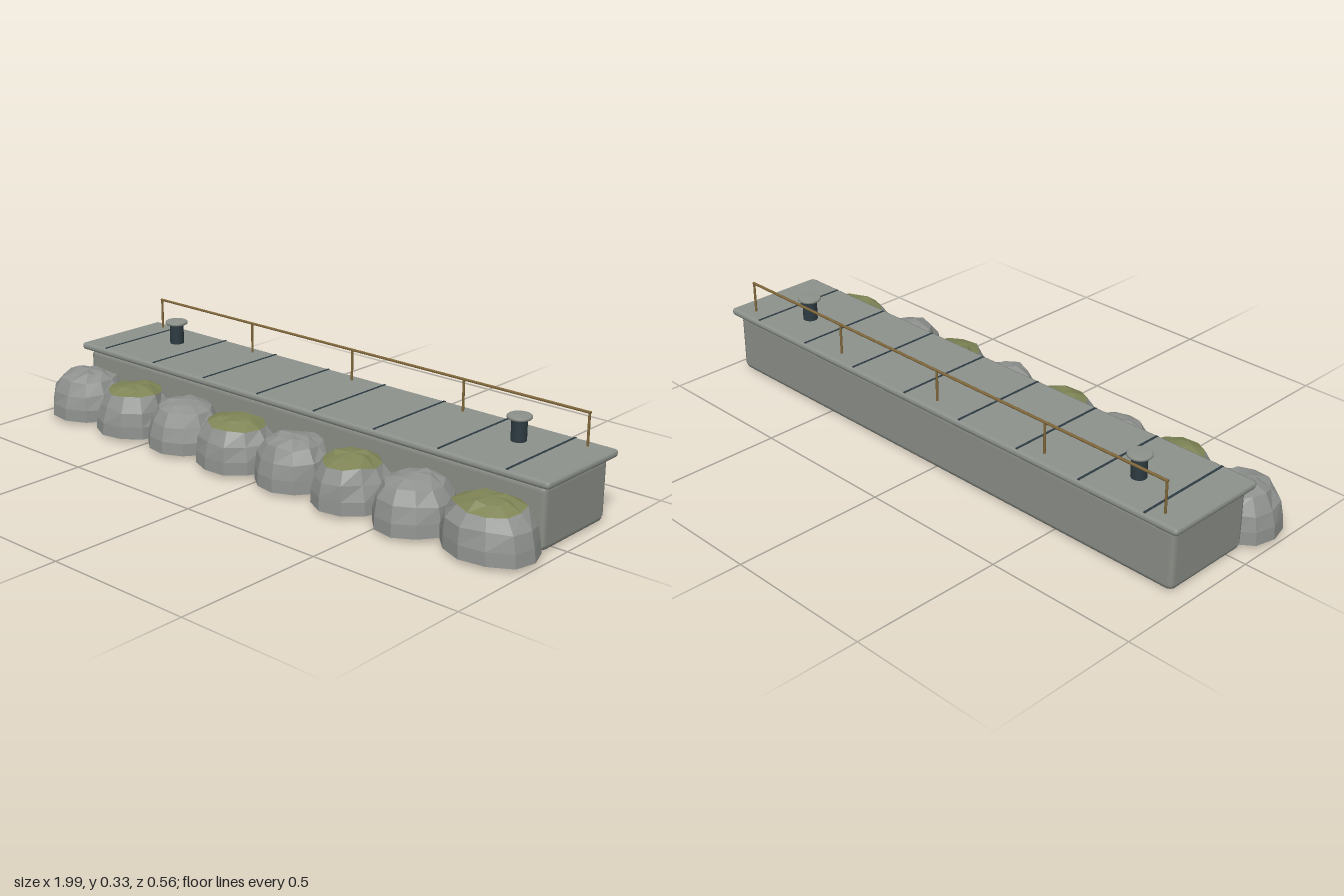
import * as THREE from 'three';
import { RoundedBoxGeometry } from 'three/addons/geometries/RoundedBoxGeometry.js';

const paint = (name, color) => {
  const m = new THREE.MeshStandardMaterial({ color });
  m.name = name;
  return m;
};

// Small seeded generator for the boulders
function seeded(seed) {
  let s = seed * 7919 + 17;
  return () => (s = (s * 16807) % 2147483647) / 2147483647;
}

// Faceted boulder: stacked uneven rings, flat underneath; the crown may use a second material
function boulder(cx, rx, rz, seed, mossy) {
  const rand = seeded(seed);
  for (let i = 0; i < 5; i++) rand();
  const sides = 11, cz = 0.145;
  const profile = [[0.012, 1], [0.053, 0.985], [0.1, 0.9], [0.143, 0.72], [0.16, 0.4]];
  const lean = (rand() - 0.5) * 0.04;
  const bulge = Array.from({ length: sides }, () => 0.93 + 0.07 * rand());
  const rings = profile.map(([y, r], k) => bulge.map((b, i) => {
    const a = (i + 0.5 * (seed % 2)) / sides * Math.PI * 2;
    const f = r * b * (k > 1 ? 0.95 + 0.1 * rand() : 1);
    const dy = k > 1 ? (rand() - 0.5) * 0.012 : 0;
    return [cx + Math.cos(a) * rx * f + lean * k / 4, y + dy, cz + Math.sin(a) * rz * f];
  }));
  const side = [], crown = [];
  const bottom = [cx, 0.012, cz], top = [cx + lean, 0.166, cz];
  for (let i = 0; i < sides; i++) {
    const j = (i + 1) % sides;
    side.push(bottom, rings[0][i], rings[0][j]);
    for (let k = 0; k < rings.length - 1; k++) {
      const [a, b, c, d] = [rings[k][i], rings[k][j], rings[k + 1][j], rings[k + 1][i]];
      (k === 3 ? crown : side).push(a, d, b, b, d, c);
    }
    crown.push(rings[4][i], top, rings[4][j]);
  }
  const g = new THREE.BufferGeometry();
  g.setAttribute('position', new THREE.Float32BufferAttribute([...side, ...crown].flat(), 3));
  g.addGroup(0, side.length, 0);
  g.addGroup(side.length, crown.length, mossy ? 1 : 0);
  g.computeVertexNormals();
  return g;
}

export function createModel() {
  const model = new THREE.Group();
  model.name = 'stoneQuay';
  const wallStone = paint('wall stone', 0x8b8e87);
  const deckStone = paint('deck stone', 0x8d928c);
  const rock = paint('rock', 0x8f928f);
  const moss = paint('moss', 0x7f8556);
  const iron = paint('dark iron', 0x2d3b42);
  const brass = paint('brass', 0x80673a);
  rock.flatShading = moss.flatShading = true;

  const add = (name, geometry, material, x = 0, y = 0, z = 0) => {
    const mesh = new THREE.Mesh(geometry, material);
    mesh.name = name;
    mesh.position.set(x, y, z);
    model.add(mesh);
    return mesh;
  };

  // Quay wall and overhanging deck slab
  const midX = 0.008, midZ = -0.098;
  add('quayWall', new RoundedBoxGeometry(1.9, 0.2, 0.32, 1, 0.02), wallStone, midX, 0.1, midZ);
  add('deckSlab', new RoundedBoxGeometry(1.944, 0.026, 0.36, 1, 0.0125), deckStone, midX, 0.211, midZ);

  // Dark joints across the deck
  for (let i = 0; i < 8; i++) {
    add('deckJoint', new THREE.BoxGeometry(0.008, 0.004, 0.343), iron, -0.845 + i * 0.24, 0.223, midZ);
  }

  // Mooring bollards with stone-coloured caps
  for (const x of [-0.714, 0.726]) {
    add('bollardPost', new THREE.CylinderGeometry(0.024, 0.024, 0.072, 20), iron, x, 0.259, -0.138);
    const cap = [[0, 0], [0.035, 0], [0.038, 0.003], [0.038, 0.008], [0.035, 0.011], [0, 0.011]]
      .map(([r, y]) => new THREE.Vector2(r, y));
    add('bollardCap', new THREE.LatheGeometry(cap, 24), deckStone, x, 0.292, -0.138);
  }

  // Railing along the back edge
  for (let i = 0; i < 5; i++) {
    add('railPost', new THREE.CylinderGeometry(0.004, 0.004, 0.105, 8), brass, -0.887 + i * 0.4468, 0.2745, -0.232);
  }
  const rail = add('handRail', new THREE.CylinderGeometry(0.0045, 0.0045, 1.795, 8), brass, 0.0066, 0.3265, -0.232);
  rail.rotation.z = Math.PI / 2;

  // Row of boulders in front, every second one mossy: centre x, half width, half depth
  const boulders = [
    [-0.862, 0.14, 0.125], [-0.622, 0.137, 0.135], [-0.385, 0.132, 0.123], [-0.148, 0.142, 0.13],
    [0.098, 0.132, 0.125], [0.335, 0.135, 0.13], [0.575, 0.132, 0.135], [0.842, 0.16, 0.128],
  ];
  boulders.forEach(([x, rx, rz], i) => {
    add('boulder', boulder(x, rx, rz, i + 1, i % 2 === 1), [rock, moss]);
  });
  return model;
}
